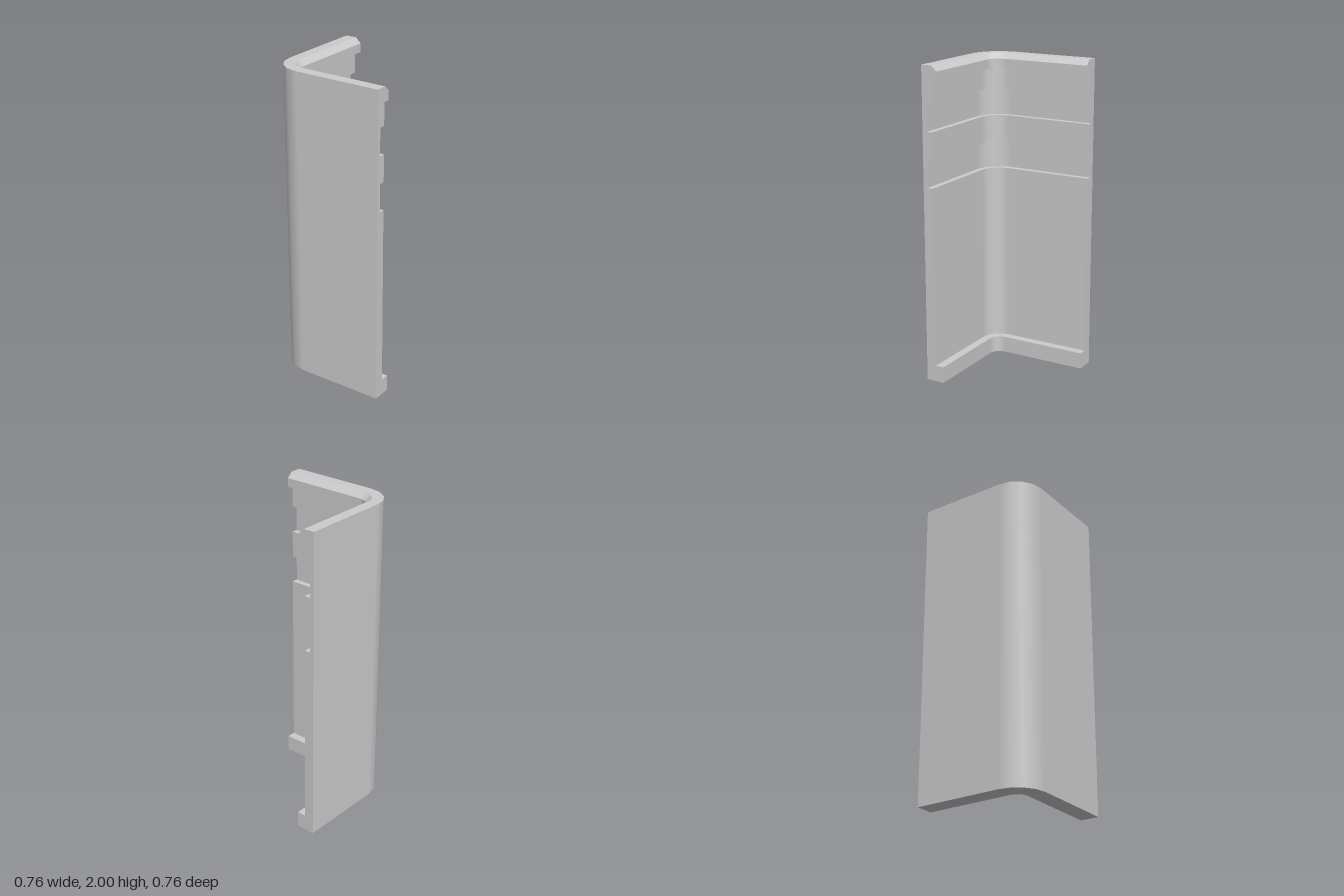
import * as THREE from 'three';
import { mergeGeometries } from 'three/addons/utils/BufferGeometryUtils.js';

const HALF = 0.38;    // half of the footprint
const RADIUS = 0.19;  // outer corner radius
const MID = HALF - RADIUS;

// Wall cross-section: [depth in from the outer face, height], counter-clockwise
const PROFILE = [
  [0, 0], [0.12, 0], [0.12, 0.105],             // foot lip
  [0.065, 0.105], [0.065, 1.255],               // main wall
  [0.027, 1.255], [0.027, 1.43],                // lower groove
  [0.065, 1.43], [0.065, 1.6],
  [0.027, 1.6], [0.027, 1.77],                  // upper groove
  [0.065, 1.77], [0.065, 1.91],
  [0.107, 1.91], [0.107, 1.967], [0.071, 2],    // chamfered top lip
  [0, 2],
];

// Stations along the L-shaped path: centre point and outward direction
function makeStations(segments) {
  const stations = [{ x: -MID, z: -HALF, nx: -1, nz: 0 }];
  for (let i = 0; i <= segments; i++) {
    const t = (i / segments) * Math.PI / 2;
    stations.push({ x: -MID, z: MID, nx: -Math.cos(t), nz: Math.sin(t) });
  }
  stations.push({ x: HALF, z: MID, nx: 0, nz: 1 });
  return stations;
}

// Sweep each profile edge as its own strip: crisp edges, smooth round the corner
function sweep(stations) {
  const position = [], normal = [], uv = [], index = [];
  PROFILE.forEach(([d0, y0], i) => {
    const [d1, y1] = PROFILE[(i + 1) % PROFILE.length];
    const len = Math.hypot(d1 - d0, y1 - y0);
    const inward = (y1 - y0) / len, up = -(d1 - d0) / len;
    stations.forEach((s, k) => {
      const a = position.length / 3;
      for (const [d, y] of [[d0, y0], [d1, y1]]) {
        position.push(s.x + s.nx * (RADIUS - d), y, s.z + s.nz * (RADIUS - d));
        normal.push(-s.nx * inward, up, -s.nz * inward);
        uv.push(k, y);
      }
      if (k < stations.length - 1) index.push(a, a + 1, a + 3, a, a + 3, a + 2);
    });
  });
  const geometry = new THREE.BufferGeometry();
  geometry.setAttribute('position', new THREE.Float32BufferAttribute(position, 3));
  geometry.setAttribute('normal', new THREE.Float32BufferAttribute(normal, 3));
  geometry.setAttribute('uv', new THREE.Float32BufferAttribute(uv, 2));
  geometry.setIndex(index);
  return geometry;
}

// Flat face closing one end of the wall
function endCap(sign, angle, x, z) {
  const shape = new THREE.Shape(PROFILE.map(([d, y]) => new THREE.Vector2(sign * d, y)));
  return new THREE.ShapeGeometry(shape).rotateY(angle).translate(x, 0, z);
}

export function createModel() {
  const group = new THREE.Group();
  group.name = 'cornerPanel';
  const geometry = mergeGeometries([
    sweep(makeStations(4)),
    endCap(-1, Math.PI, -HALF, -HALF),    // back end of the side wall
    endCap(1, Math.PI / 2, HALF, HALF),   // left end of the front wall
  ]);
  const wall = new THREE.Mesh(geometry, new THREE.MeshStandardMaterial({ color: 0xcccccc }));
  wall.name = 'cornerWall';
  group.add(wall);
  return group;
}
